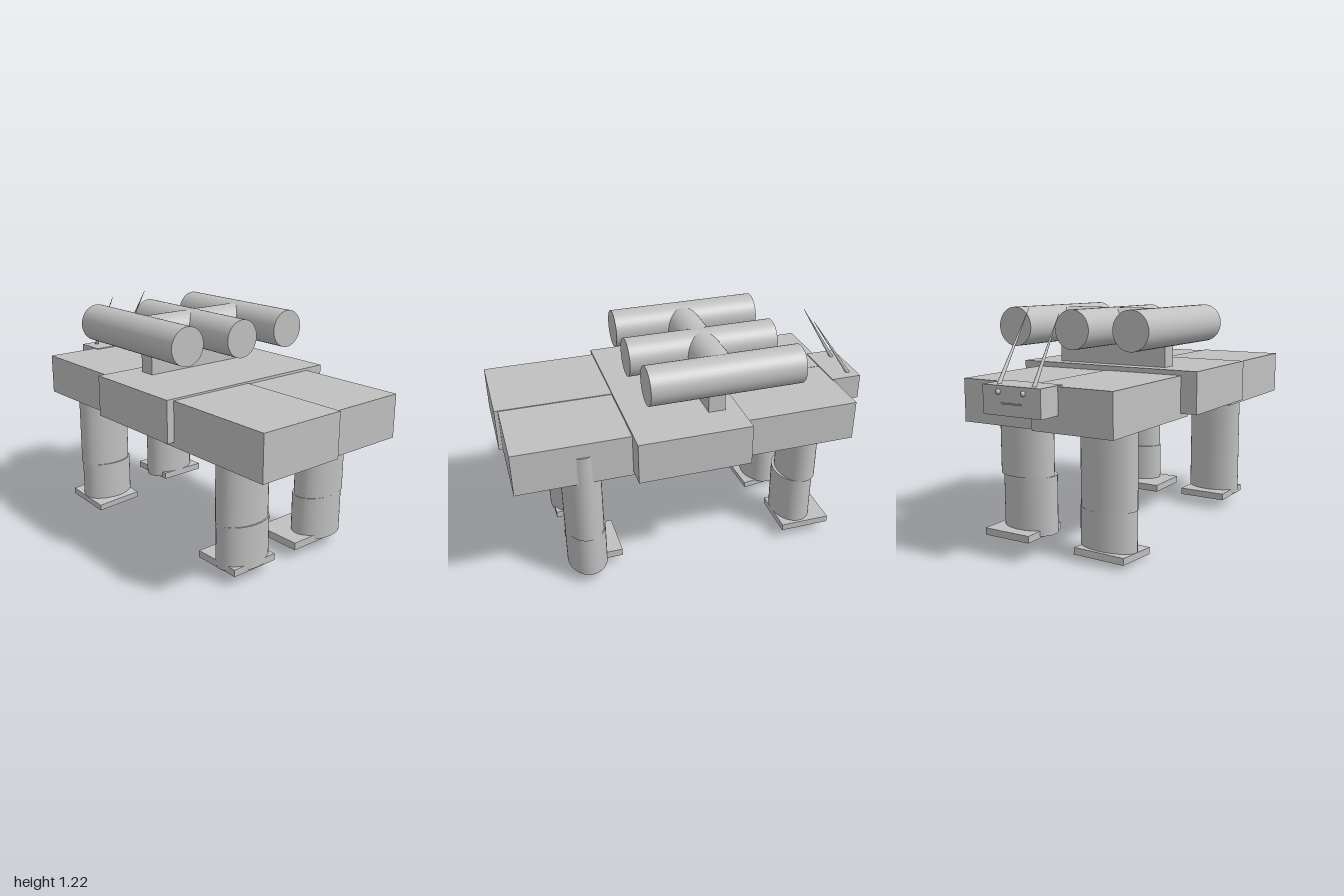
import * as THREE from 'three';

export function createModel() {
  const model = new THREE.Group();
  const grey = new THREE.MeshStandardMaterial({ color: 0xc0c0c0 });
  grey.name = 'plain grey';

  const add = (name, geometry, x, y, z) => {
    const mesh = new THREE.Mesh(geometry, grey);
    mesh.name = name;
    mesh.position.set(x, y, z);
    model.add(mesh);
    return mesh;
  };
  // Box given by its extents on each axis
  const block = (name, [x0, x1], [y0, y1], [z0, z1]) =>
    add(name, new THREE.BoxGeometry(x1 - x0, y1 - y0, z1 - z0),
      (x0 + x1) / 2, (y0 + y1) / 2, (z0 + z1) / 2);
  // Upright oval column
  const column = (name, x, z, rx, rz, y0, y1) => {
    const geometry = new THREE.CylinderGeometry(1, 1, y1 - y0, 40);
    geometry.scale(rx, 1, rz);
    return add(name, geometry, x, (y0 + y1) / 2, z);
  };

  // Body slabs
  block('frontBodyRight', [-0.5, -0.012], [0.655, 0.89], [0.3, 1.0]);
  block('frontBodyLeft', [-0.012, 0.425], [0.658, 0.886], [0.37, 0.98]);
  block('middleBody', [-0.54, 0.535], [0.68, 0.9], [-0.21, 0.382]);
  block('rearBodyRight', [-0.45, 0], [0.655, 0.875], [-0.858, -0.13]);
  block('rearBodyLeft', [0, 0.435], [0.655, 0.873], [-0.83, -0.13]);

  // Head with eyes, mouth and antennae
  block('head', [-0.153, 0.18], [0.74, 0.88], [-0.988, -0.82]);
  for (const x of [-0.055, 0.088])
    add('eye', new THREE.SphereGeometry(0.013, 16, 12), x, 0.85, -0.988);
  block('mouth', [-0.045, 0.07], [0.795, 0.802], [-0.993, -0.987]);
  for (const [x, tipX, tipZ] of [[-0.082, -0.082, -0.74], [0.122, 0.124, -0.7]]) {
    const base = new THREE.Vector3(x, 0.87, -0.945);
    const tip = new THREE.Vector3(tipX, tipZ < -0.72 ? 1.2 : 1.22, tipZ);
    const axis = tip.clone().sub(base);
    const mid = base.clone().add(tip).multiplyScalar(0.5);
    const antenna = add('antenna', new THREE.CylinderGeometry(0.001, 0.011, axis.length(), 12),
      mid.x, mid.y, mid.z);
    antenna.quaternion.setFromUnitVectors(new THREE.Vector3(0, 1, 0), axis.normalize());
  }

  // Raised mount, cross tube and three barrels
  block('barrelMount', [-0.315, 0.342], [0.89, 1.03], [-0.13, -0.04]);
  add('crossTube', new THREE.CylinderGeometry(0.096, 0.096, 0.66, 40), 0.01, 1.109, -0.1)
    .rotation.z = Math.PI / 2;
  for (const [x, y, z] of [[-0.337, 1.113, -0.115], [0.012, 1.106, -0.1], [0.355, 1.113, -0.115]])
    add('barrel', new THREE.CylinderGeometry(0.101, 0.101, 0.81, 40), x, y, z)
      .rotation.x = Math.PI / 2;

  // Legs: upper and slightly shifted lower sections
  const legs = [
    { name: 'frontLeft', x: 0.283, z: 0.627, split: 0.3, top: 0.81, dx: -0.006, dz: -0.004 },
    { name: 'frontRight', x: -0.265, z: 0.62, split: 0.3, top: 0.75, dx: 0.002, dz: 0.004 },
    { name: 'rearLeft', x: 0.222, z: -0.608, split: 0.37, top: 0.75, dx: -0.008, dz: 0.012 },
    { name: 'rearRight', x: -0.267, z: -0.6, split: 0.26, top: 0.75, dx: 0.005, dz: 0.004 },
  ];
  for (const { name, x, z, split, top, dx, dz } of legs) {
    column(name + 'UpperLeg', x, z, 0.152, 0.103, split, top);
    column(name + 'LowerLeg', x + dx, z + dz, 0.152, 0.107, name === 'rearRight' ? 0.045 : 0.065, split);
  }

  // Feet: three flat, one tipped
  block('frontLeftFoot', [0.035, 0.305], [0.05, 0.09], [0.432, 0.705]);
  block('frontRightFoot', [-0.4, -0.128], [0.055, 0.092], [0.45, 0.72]);
  block('rearLeftFoot', [0.105, 0.38], [0.057, 0.094], [-0.768, -0.49]);
  add('rearRightFoot', new THREE.BoxGeometry(0.275, 0.035, 0.272), -0.277, 0.036, -0.592)
    .rotation.set(0.1, 0.04, 0.03);

  return model;
}
